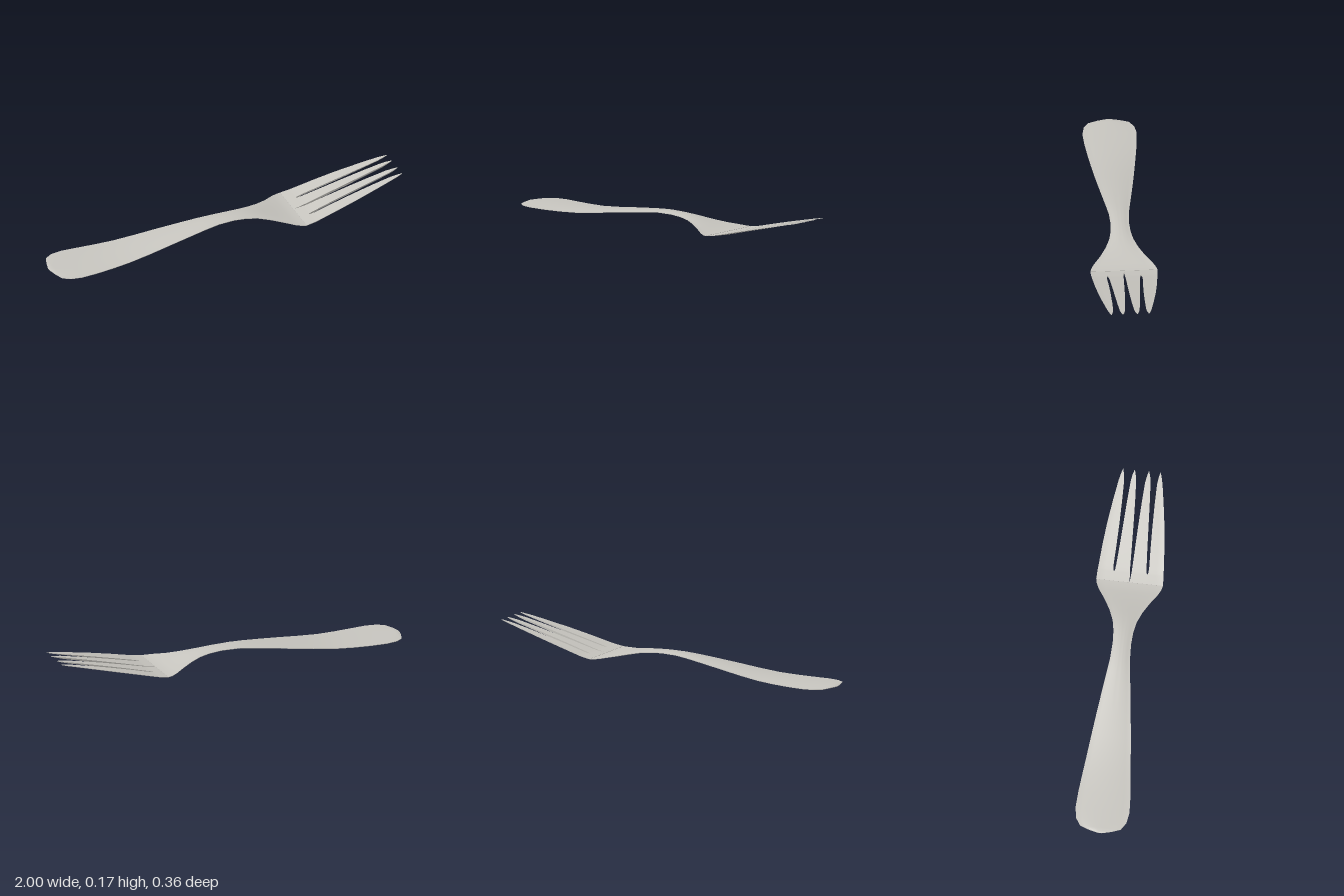
import * as THREE from 'three';
import { toCreasedNormals } from 'three/addons/utils/BufferGeometryUtils.js';

// Stations along the fork: [x, half width, centre height, half thickness, edge lift]
const BODY = [
  [-1.0, 0.012, 0.013, 0.002, 0], [-0.988, 0.06, 0.013, 0.004, 0], [-0.97, 0.108, 0.012, 0.005, 0],
  [-0.93, 0.134, 0.011, 0.006, 0.001], [-0.87, 0.144, 0.010, 0.007, 0.002], [-0.78, 0.139, 0.010, 0.007, 0.002],
  [-0.68, 0.129, 0.012, 0.008, 0.002], [-0.58, 0.118, 0.017, 0.008, 0.002], [-0.46, 0.105, 0.030, 0.008, 0.002],
  [-0.34, 0.091, 0.046, 0.008, 0.002], [-0.22, 0.076, 0.062, 0.007, 0.001], [-0.12, 0.063, 0.075, 0.007, 0],
  [-0.04, 0.053, 0.082, 0.007, 0], [0.05, 0.049, 0.083, 0.007, 0], [0.12, 0.053, 0.079, 0.007, 0],
  [0.18, 0.064, 0.071, 0.007, 0.001], [0.24, 0.087, 0.058, 0.007, 0.003], [0.30, 0.119, 0.044, 0.007, 0.005],
  [0.36, 0.158, 0.033, 0.006, 0.006], [0.39, 0.172, 0.029, 0.006, 0.006], [0.415, 0.178, 0.028, 0.006, 0.006],
];
// The same, then the slot edges: outer tine inside, inner tine outside, inner tine inside
const HEAD = [
  [0.415, 0.178, 0.028, 0.006, 0.006, 0.089, 0.089, 0],
  [0.465, 0.176, 0.036, 0.006, 0.006, 0.089, 0.089, 0.004],
  [0.475, 0.175, 0.038, 0.006, 0.006, 0.093, 0.084, 0.005],
  [0.50, 0.173, 0.044, 0.006, 0.006, 0.095, 0.081, 0.006],
  [0.60, 0.165, 0.070, 0.006, 0.005, 0.091, 0.074, 0.009],
  [0.72, 0.152, 0.100, 0.006, 0.004, 0.088, 0.067, 0.013],
  [0.84, 0.134, 0.130, 0.005, 0.002, 0.087, 0.060, 0.018],
  [0.94, 0.117, 0.154, 0.004, 0.001, 0.088, 0.053, 0.024],
  [0.97, 0.110, 0.161, 0.003, 0, 0.092, 0.048, 0.029],
  [1.0, 0.101, 0.168, 0.0015, 0, 0.099, 0.0395, 0.0365],
];

// Closed ring through the lens-shaped section of a station, between two z values
function section([x, w, c, t, lift], z0, z1, segs) {
  const top = [], under = [];
  for (let i = 0; i <= segs; i++) {
    const z = z0 + (z1 - z0) * i / segs;
    const u = (z / w) ** 2;
    const y = c + lift * u;
    const h = Math.max(t * (1 - u), 0.0012);
    top.push([x, y + h, z]);
    under.unshift([x, y - h, z]);
  }
  return [...top, ...under];
}

// Skin over the rings, with both ends capped
function loft(rings) {
  const n = rings[0].length, index = [];
  for (let r = 0; r < rings.length - 1; r++) {
    for (let i = 0; i < n; i++) {
      const a = r * n + i, b = r * n + (i + 1) % n;
      index.push(a, b, a + n, b, b + n, a + n);
    }
  }
  const end = (rings.length - 1) * n;
  for (let i = 1; i < n - 1; i++) {
    index.push(0, i + 1, i, end, end + i, end + i + 1);
  }
  const geo = new THREE.BufferGeometry();
  geo.setAttribute('position', new THREE.Float32BufferAttribute(rings.flat(2), 3));
  geo.setIndex(index);
  return toCreasedNormals(geo, 0.7);
}

export function createModel() {
  const metal = new THREE.MeshStandardMaterial({ color: 0xc8c6c0 });
  metal.name = 'brushed metal';
  const fork = new THREE.Group();
  fork.name = 'fork';
  const add = (name, rings) => {
    const mesh = new THREE.Mesh(loft(rings), metal);
    mesh.name = name;
    fork.add(mesh);
  };

  // Handle, neck and shoulders in one sweep
  add('handle', BODY.map((s) => section(s, -s[1], s[1], 16)));

  // Four tapering tines, mirrored across z
  for (const side of [1, -1]) {
    const tine = (name, inner, outer) => add(name, HEAD.map((s) => {
      const [a, b] = [side * s[inner], side * s[outer]];
      return section(s, Math.min(a, b), Math.max(a, b), 4);
    }));
    tine('outerTine', 5, 1);
    tine('innerTine', 7, 6);
  }
  return fork;
}
